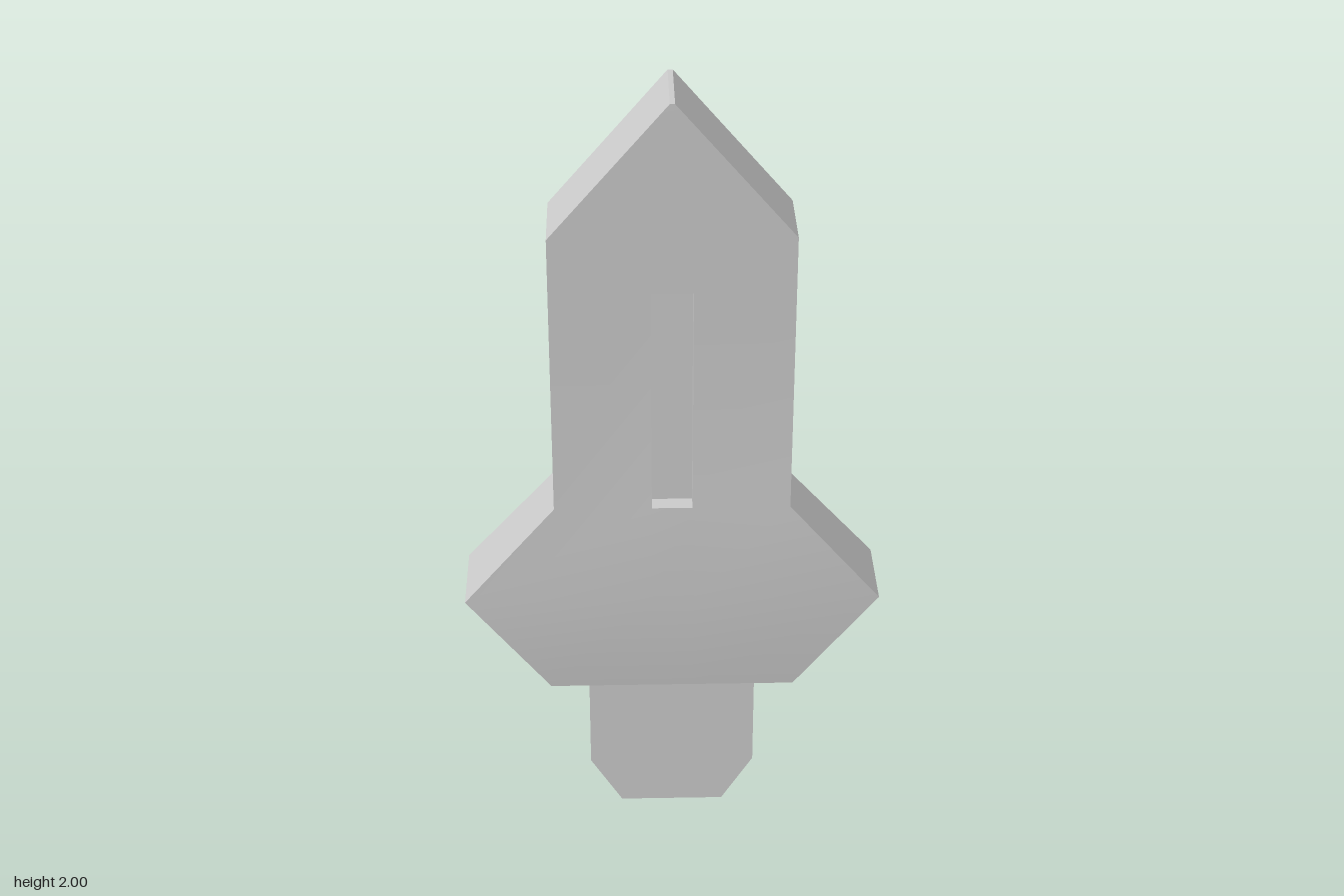
import * as THREE from 'three';
import { toCreasedNormals } from 'three/addons/utils/BufferGeometryUtils.js';

const material = new THREE.MeshStandardMaterial({ color: 0xcccccc });

// Cross-sections of the blade and guard: [y, half width, half depth]
const SECTIONS = [
  [0.4, 0.31, 0.082],
  [0.68, 0.518, 0.11],
  [0.94, 0.29, 0.094],
  [1.53, 0.29, 0.102],
  [1.67, 0.29, 0.104],
  [2.0, 0.006, 0.105],
];
const SLOT_ROW = 2; // the slot spans the section above this one
const SLOT_HALF = 0.05;
const SLOT_FLOOR = 0.05;

function createBlade() {
  const pos = [];
  // Corners run counter-clockwise; every quad is repeated half a turn about y
  const quad = (a, b, c, d) => {
    for (const s of [1, -1]) {
      for (const p of [a, b, c, a, c, d]) pos.push(s * p[0], p[1], s * p[2]);
    }
  };
  const columns = ([y, w, d]) => {
    const inner = Math.min(SLOT_HALF, w / 2);
    return [-w, -inner, inner, w].map((x) => [x, y, d]);
  };

  for (let i = 0; i < SECTIONS.length - 1; i++) {
    const lo = columns(SECTIONS[i]);
    const hi = columns(SECTIONS[i + 1]);
    // Broad face
    for (let k = 0; k < 3; k++) {
      if (i === SLOT_ROW && k === 1) continue;
      quad(lo[k], lo[k + 1], hi[k + 1], hi[k]);
    }
    // Edge face
    const back = ([x, y, z]) => [x, y, -z];
    quad(lo[3], back(lo[3]), back(hi[3]), hi[3]);

    // Recessed slot: floor and four walls
    if (i === SLOT_ROW) {
      const rim = [lo[1], lo[2], hi[2], hi[1]];
      const floor = rim.map(([x, y]) => [x, y, SLOT_FLOOR]);
      quad(...floor);
      for (let k = 0; k < 4; k++) {
        const n = (k + 1) % 4;
        quad(rim[k], rim[n], floor[n], floor[k]);
      }
    }
  }

  // Underside of the guard and the narrow tip, each as two halves
  const [y0, w0, d0] = SECTIONS[0];
  const [y1, w1, d1] = SECTIONS[SECTIONS.length - 1];
  quad([-w0, y0, 0], [w0, y0, 0], [w0, y0, d0], [-w0, y0, d0]);
  quad([-w1, y1, d1], [w1, y1, d1], [w1, y1, 0], [-w1, y1, 0]);

  const geo = new THREE.BufferGeometry();
  geo.setAttribute('position', new THREE.Float32BufferAttribute(pos, 3));
  const mesh = new THREE.Mesh(toCreasedNormals(geo, 0.3), material);
  mesh.name = 'bladeAndGuard';
  return mesh;
}

function createGrip() {
  const outline = [[-0.132, 0], [0.132, 0], [0.213, 0.13], [0.213, 0.4], [-0.213, 0.4], [-0.213, 0.13]];
  const shape = new THREE.Shape(outline.map(([x, y]) => new THREE.Vector2(x, y)));
  const geo = new THREE.ExtrudeGeometry(shape, { depth: 0.09, bevelEnabled: false });
  geo.translate(0, 0, -0.045);
  const mesh = new THREE.Mesh(geo, material);
  mesh.name = 'grip';
  return mesh;
}

export function createModel() {
  const model = new THREE.Group();
  model.name = 'dagger';
  model.add(createBlade(), createGrip());
  return model;
}
